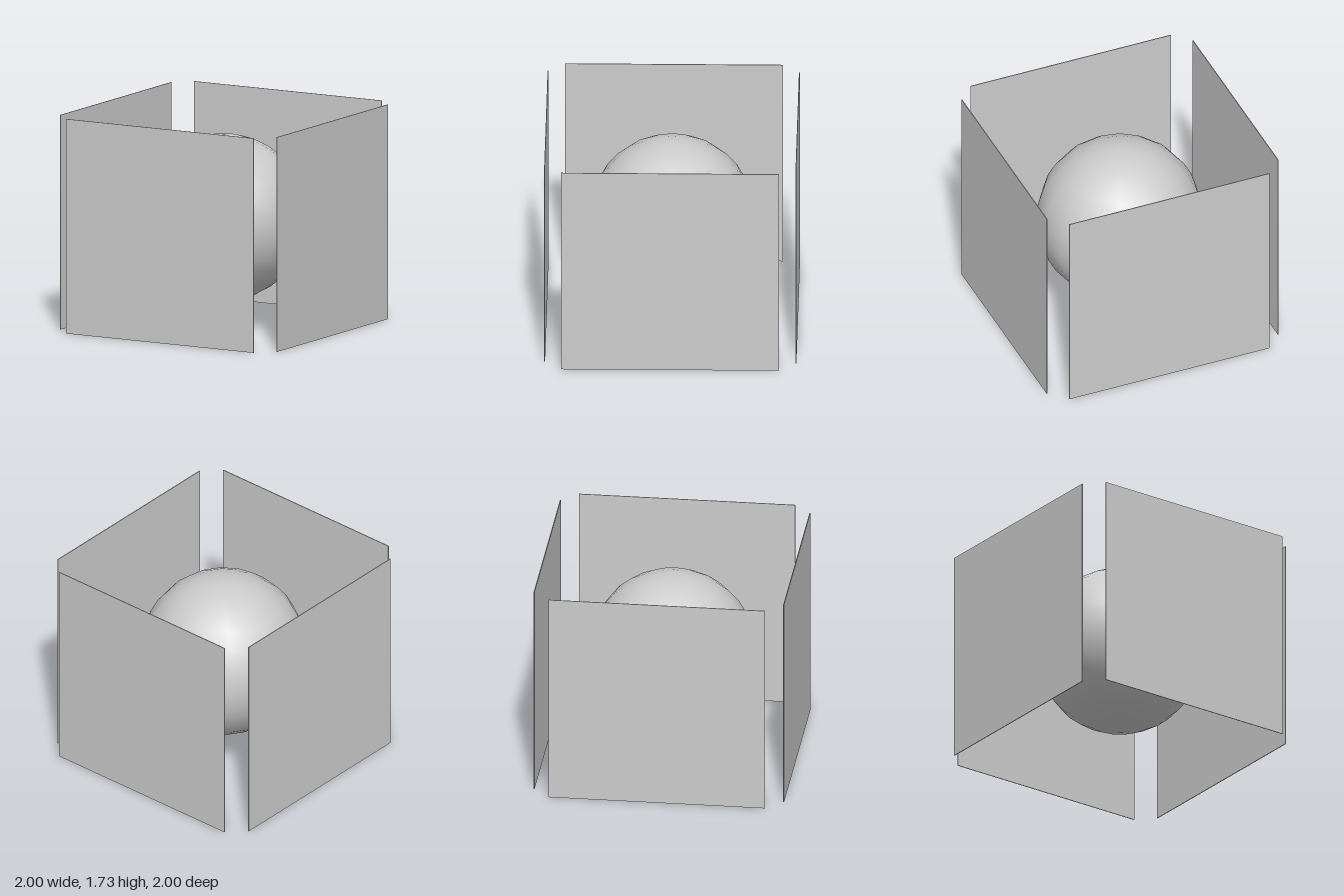
import * as THREE from 'three';

const UNIT = 1 / 1.505; // sphere radius; everything else is proportional to it
const SIZE = 2.6 * UNIT;
const THICK = 0.01 * UNIT;
const OFFSET = 1.5 * UNIT;

export function createModel() {
  const model = new THREE.Group();
  const material = new THREE.MeshStandardMaterial({ color: 0xcccccc });

  // Ball floating in the middle
  const ball = new THREE.Mesh(new THREE.SphereGeometry(UNIT, 16, 16), material);
  ball.name = 'ball';
  ball.position.y = SIZE / 2;
  model.add(ball);

  // Four thin square walls, one on each side
  const wallGeometry = new THREE.BoxGeometry(SIZE, SIZE, THICK);
  ['frontWall', 'leftWall', 'backWall', 'rightWall'].forEach((name, i) => {
    const angle = (i * Math.PI) / 2;
    const wall = new THREE.Mesh(wallGeometry, material);
    wall.name = name;
    wall.rotation.y = angle;
    wall.position.set(Math.sin(angle) * OFFSET, SIZE / 2, Math.cos(angle) * OFFSET);
    model.add(wall);
  });

  return model;
}
